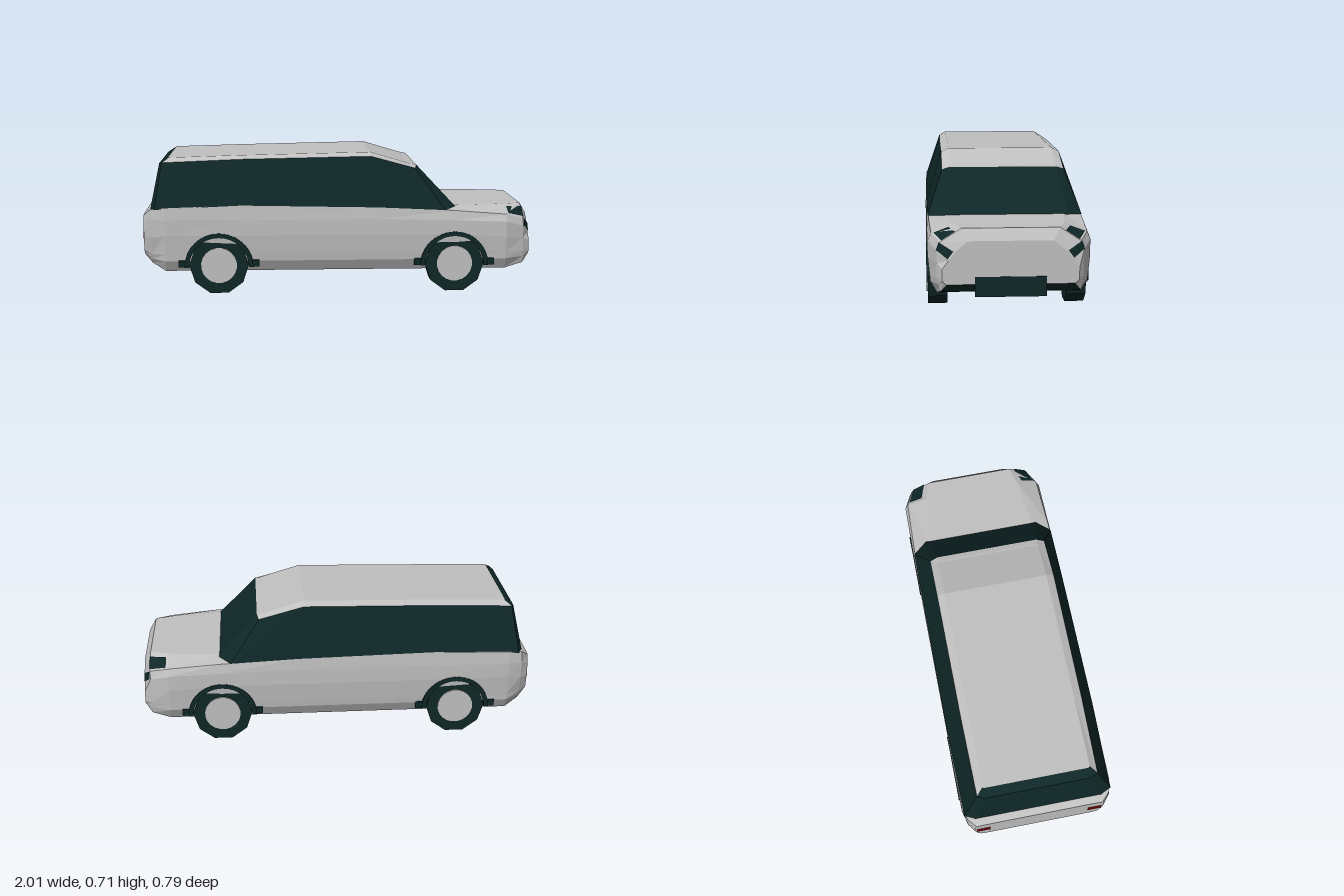
import * as THREE from 'three';

const paint = new THREE.MeshStandardMaterial({ color: 0xc0c0c0 });
paint.name = 'silver paint';
const dark = new THREE.MeshStandardMaterial({ color: 0x0f2727 });
dark.name = 'dark glass and rubber';
const red = new THREE.MeshStandardMaterial({ color: 0x8a0008 });
red.name = 'red lamp';

const mirror = ([x, y, z]) => [x, y, -z];
const fullRing = half => [...half, ...half.map(mirror).reverse()];

// Flat-faced mesh from polygons (counter-clockwise from outside)
function facets(name, polys, material) {
  const pos = [];
  for (const p of polys)
    for (let i = 1; i < p.length - 1; i++) pos.push(...p[0], ...p[i], ...p[i + 1]);
  const g = new THREE.BufferGeometry();
  g.setAttribute('position', new THREE.Float32BufferAttribute(pos, 3));
  g.computeVertexNormals();
  const mesh = new THREE.Mesh(g, material);
  mesh.name = name;
  return mesh;
}

function box(name, size, at, material) {
  const mesh = new THREE.Mesh(new THREE.BoxGeometry(...size), material);
  mesh.position.set(...at);
  mesh.name = name;
  return mesh;
}

// Lower body: x, then [z, y] from underside up to the hood or tail edge
const stations = [
  [-1.0, [[.29, .19], [.31, .20], [.325, .22], [.34, .29], [.34, .36], [.33, .40], [.28, .405]]],
  [-.96, [[.32, .15], [.34, .175], [.35, .20], [.37, .29], [.375, .38], [.37, .435], [.30, .435]]],
  [-.89, [[.345, .11], [.375, .165], [.378, .20], [.388, .30], [.39, .38], [.385, .443], [.30, .443]]],
  [-.50, [[.345, .11], [.375, .165], [.38, .20], [.39, .30], [.39, .38], [.385, .456], [.30, .456]]],
  [.20, [[.345, .11], [.375, .165], [.38, .20], [.39, .30], [.39, .38], [.385, .441], [.30, .441]]],
  [.60, [[.345, .11], [.375, .165], [.38, .20], [.39, .30], [.39, .37], [.38, .42], [.29, .435]]],
  [.87, [[.345, .11], [.375, .165], [.378, .20], [.386, .28], [.386, .36], [.37, .397], [.26, .435]]],
  [.965, [[.33, .135], [.34, .17], [.345, .20], [.345, .27], [.345, .33], [.33, .37], [.23, .435]]],
  [1.0, [[.30, .175], [.31, .182], [.32, .195], [.32, .25], [.29, .29], [.26, .33], [.20, .38]]],
];

function lowerBody() {
  const group = new THREE.Group();
  group.name = 'lowerBody';
  const halves = stations.map(([x, pts]) => pts.map(([z, y]) => [x, y, z]));
  const rings = halves.map(fullRing);
  const skin = [], under = [];
  const n = rings[0].length;
  for (let i = 0; i < rings.length - 1; i++)
    for (let j = 0; j < n; j++) {
      const k = (j + 1) % n;
      const quad = [rings[i][j], rings[i + 1][j], rings[i + 1][k], rings[i][k]];
      (j === n - 1 && i > 1 ? under : skin).push(quad);
    }
  skin.push(rings[0], [...rings[rings.length - 1]].reverse());
  group.add(facets('bodyShell', skin, paint), facets('underside', under, dark));

  // Headlamp patches laid just proud of the front corners
  const mix = (a, b, t) => a.map((v, i) => v + (b[i] - v) * t);
  const patch = (i, j, u0, u1, v0, v1) => {
    const at = (u, v) => mix(mix(halves[i][j], halves[i + 1][j], u),
      mix(halves[i][j + 1], halves[i + 1][j + 1], u), v)
      .map((c, axis) => c + [.003, .002, .003][axis]);
    return [at(u0, v0), at(u1, v0), at(u1, v1), at(u0, v1)];
  };
  const lamps = [patch(6, 5, .1, 1, .1, .75), patch(7, 4, 0, .95, .05, .95)];
  const other = lamps.map(p => p.map(mirror).reverse());
  group.add(facets('leftHeadlamp', lamps, dark), facets('rightHeadlamp', other, dark));
  return group;
}

// Glasshouse: belt line, roof edge and roof panel outlines, rear to front
const belt = [[-.965, .43, .33], [-.94, .435, .383], [-.5, .455, .388], [.2, .44, .387],
  [.55, .423, .385], [.61, .432, .31]];
const roofEdge = [[-.92, .66, .27], [-.905, .667, .305], [-.5, .683, .31], [.17, .695, .31],
  [.40, .632, .31], [.41, .645, .27]];
const roofTop = [[-.875, .69, .265], [-.87, .69, .272], [-.5, .70, .27], [.17, .713, .27],
  [.375, .652, .27], [.385, .651, .26]];

function cabin() {
  const group = new THREE.Group();
  group.name = 'cabin';
  const [a, b, c] = [belt, roofEdge, roofTop].map(fullRing);
  const glass = [], roof = [];
  const n = a.length;
  for (let j = 0; j < n; j++) {
    const k = (j + 1) % n;
    glass.push([a[j], a[k], b[k], b[j]]);
    const rear = j === 0 || j >= n - 2;
    (rear ? glass : roof).push([b[j], b[k], c[k], c[j]]);
  }
  for (let j = 0; j < roofTop.length - 1; j++)
    roof.push([roofTop[j], roofTop[j + 1], mirror(roofTop[j + 1]), mirror(roofTop[j])]);
  group.add(facets('windows', glass, dark), facets('roof', roof, paint));
  return group;
}

// Wheel with hubcap and arch trim; side is +1 or -1
function wheel(x, side) {
  const group = new THREE.Group();
  group.name = (x > 0 ? 'front' : 'rear') + (side > 0 ? 'Left' : 'Right') + 'Wheel';
  const disc = (name, r, depth, sides, z, material) => {
    const g = new THREE.CylinderGeometry(r, r, depth, sides).toNonIndexed();
    g.rotateY(Math.PI / sides).rotateX(Math.PI / 2);
    g.computeVertexNormals();
    const mesh = new THREE.Mesh(g, material);
    mesh.position.set(x, .145, z * side);
    mesh.name = name;
    return mesh;
  };
  group.add(disc('tyre', .152, .095, 10, .338, dark));
  group.add(disc('hubcap', .092, .012, 20, .386, paint));

  const shape = new THREE.Shape();
  shape.absarc(0, 0, .176, 0, Math.PI, false);
  shape.absarc(0, 0, .153, Math.PI, 0, true);
  const arch = new THREE.Mesh(
    new THREE.ExtrudeGeometry(shape, { depth: .035, bevelEnabled: false, curveSegments: 12 }), dark);
  arch.position.set(x, .135, side > 0 ? .358 : -.393);
  arch.name = 'archTrim';
  group.add(arch);
  for (const d of [-1, 1])
    group.add(box('archFoot', [.045, .035, .03], [x + d * .185, .153, .37 * side], dark));
  return group;
}

export function createModel() {
  const model = new THREE.Group();
  model.name = 'estateCar';
  model.add(lowerBody(), cabin());
  for (const x of [-.615, .6]) for (const side of [1, -1]) model.add(wheel(x, side));
  model.add(box('frontPlate', [.008, .095, .335], [.999, .163, 0], dark));
  for (const side of [1, -1])
    model.add(box('tailLamp', [.008, .045, .07], [-.999, .3, .295 * side], red));
  return model;
}
